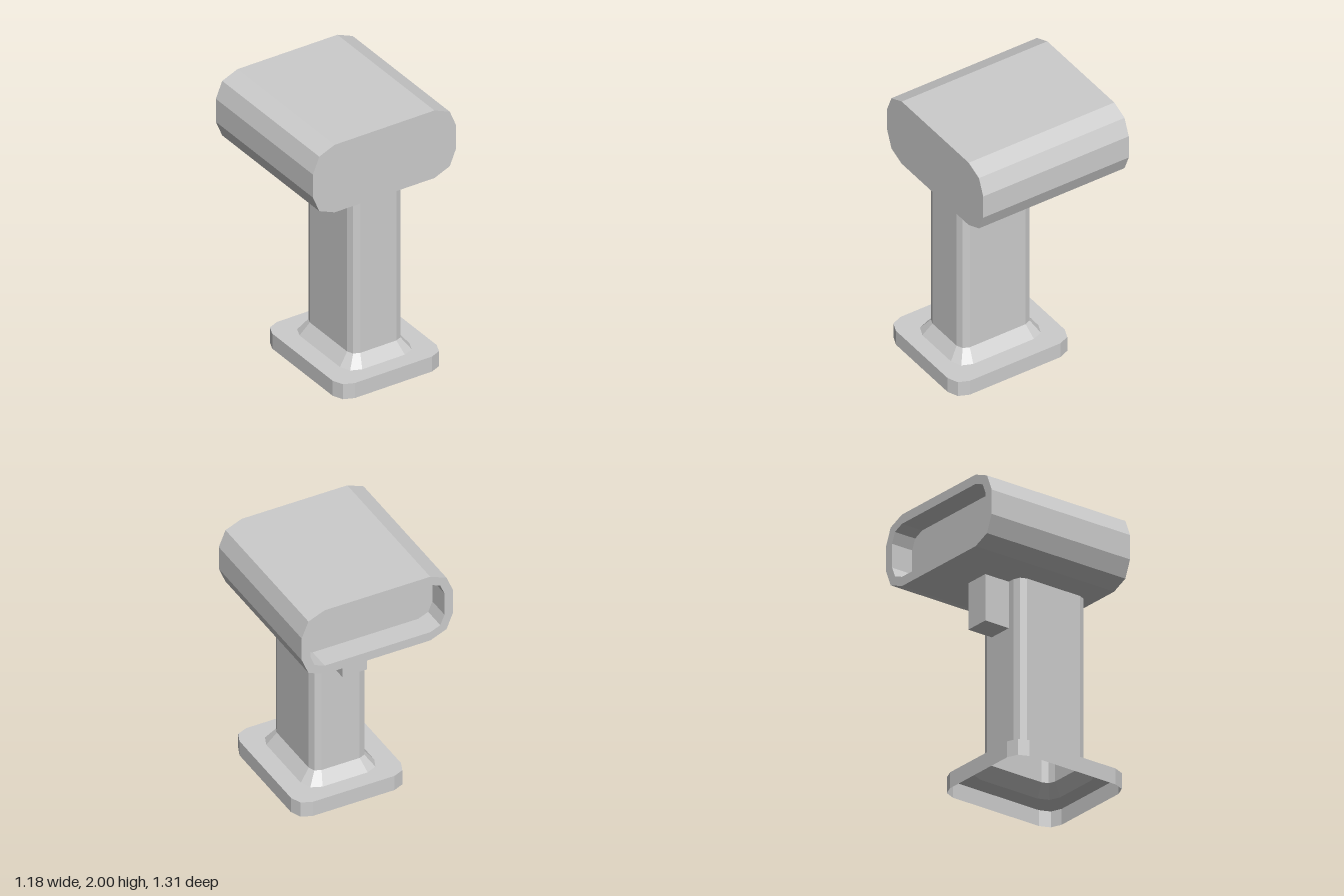
import * as THREE from 'three';

// Rounded rectangle outline at height t, with two facets per corner
function ring(t, halfX, halfZ, radius) {
  const points = [];
  for (let corner = 0; corner < 4; corner++) {
    const sx = corner === 0 || corner === 3 ? 1 : -1;
    const sz = corner < 2 ? 1 : -1;
    for (let k = 0; k < 3; k++) {
      const a = (corner * 2 + k) * Math.PI / 4;
      points.push(new THREE.Vector3(
        sx * (halfX - radius) + radius * Math.cos(a),
        t,
        sz * (halfZ - radius) + radius * Math.sin(a)));
    }
  }
  return points;
}

// Faceted skin through a list of rings, optionally capped at both ends
function loft(rings, capped) {
  const corners = [];
  const n = rings[0].length;
  for (let i = 0; i < rings.length - 1; i++) {
    for (let j = 0; j < n; j++) {
      const k = (j + 1) % n;
      const a = rings[i][j], b = rings[i + 1][j], c = rings[i + 1][k], d = rings[i][k];
      corners.push(a, b, c, a, c, d);
    }
  }
  if (capped) {
    const first = rings[0], last = rings[rings.length - 1];
    for (let j = 1; j < n - 1; j++) {
      corners.push(first[0], first[j], first[j + 1]);
      corners.push(last[0], last[j + 1], last[j]);
    }
  }
  const geometry = new THREE.BufferGeometry().setFromPoints(corners);
  geometry.computeVertexNormals();
  return geometry;
}

export function createModel() {
  const group = new THREE.Group();
  const grey = new THREE.MeshStandardMaterial({ color: 0xcccccc, side: THREE.DoubleSide });
  grey.name = 'light grey';

  const add = (name, geometry, x, y, z) => {
    const mesh = new THREE.Mesh(geometry, grey);
    mesh.name = name;
    mesh.position.set(x, y, z);
    group.add(mesh);
  };

  // Hollow foot, open underneath
  add('base', loft([
    ring(0, 0.427, 0.483, 0.11),
    ring(0.12, 0.427, 0.483, 0.11),
    ring(0.12, 0.285, 0.36, 0.11),
  ]), 0, 0, 0.173);

  // Sloping collar between foot and handle
  add('collar', loft([
    ring(0.12, 0.285, 0.36, 0.11),
    ring(0.21, 0.213, 0.295, 0.065),
  ]), 0, 0, 0.173);

  // Handle, running up to the underside of the head
  add('handle', loft([
    ring(0.21, 0.213, 0.295, 0.065),
    ring(1.46, 0.213, 0.295, 0.065),
  ]), 0, 0, 0.173);

  // Trigger block behind the handle
  add('trigger', new THREE.BoxGeometry(0.19, 0.35, 0.205), 0, 1.285, -0.2225);

  // Head with a recessed window at the back, lofted then laid along z
  const head = loft([
    ring(-0.48, 0.52, 0.2, 0.11),
    ring(-0.655, 0.52, 0.2, 0.11),
    ring(-0.655, 0.588, 0.27, 0.178),
    ring(0.545, 0.588, 0.27, 0.178),
  ], true);
  head.rotateX(Math.PI / 2);
  add('head', head, 0, 1.73, 0);

  return group;
}
